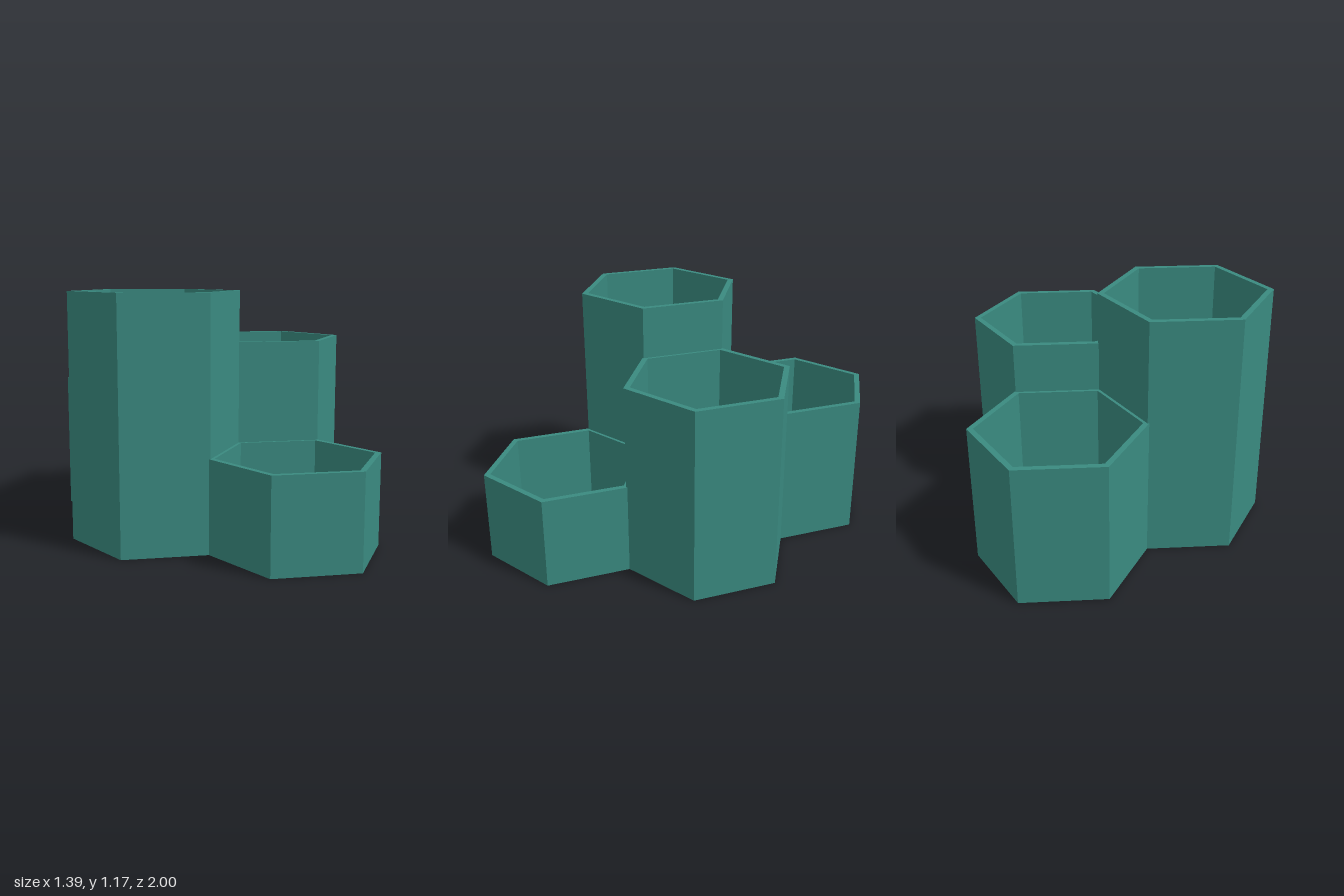
import * as THREE from 'three';

const OUTER = 0.404;   // outer corner radius of a cell
const INNER = 0.374;   // inner corner radius of a cell
const FLOOR = 0.025;   // floor thickness
const STEP_X = 0.3435; // half the spacing between neighbouring cells
const STEP_Z = 0.596;  // spacing between rows

// Open hexagonal cup with corners pointing along z
function hexCup(name, x, z, height, material) {
  const profile = [
    [0, 0], [OUTER, 0], [OUTER, height], [INNER, height], [INNER, FLOOR], [0, FLOOR],
  ].map(([r, y]) => new THREE.Vector2(r, y));
  const geometry = new THREE.LatheGeometry(profile, 6).toNonIndexed();
  geometry.computeVertexNormals();
  const cup = new THREE.Mesh(geometry, material);
  cup.name = name;
  cup.position.set(x, 0, z);
  return cup;
}

export function createModel() {
  const group = new THREE.Group();
  group.name = 'hexagonalOrganizer';
  const teal = new THREE.MeshStandardMaterial({ color: 0x3a8a80 });
  teal.name = 'teal';
  teal.flatShading = true;

  // Four cups of stepped height, packed like a honeycomb
  group.add(
    hexCup('tallestCup', -STEP_X, 0, 1.175, teal),
    hexCup('tallCup', STEP_X, 0, 0.93, teal),
    hexCup('backCup', 0, -STEP_Z, 0.69, teal),
    hexCup('frontCup', 0, STEP_Z, 0.442, teal),
  );
  return group;
}
